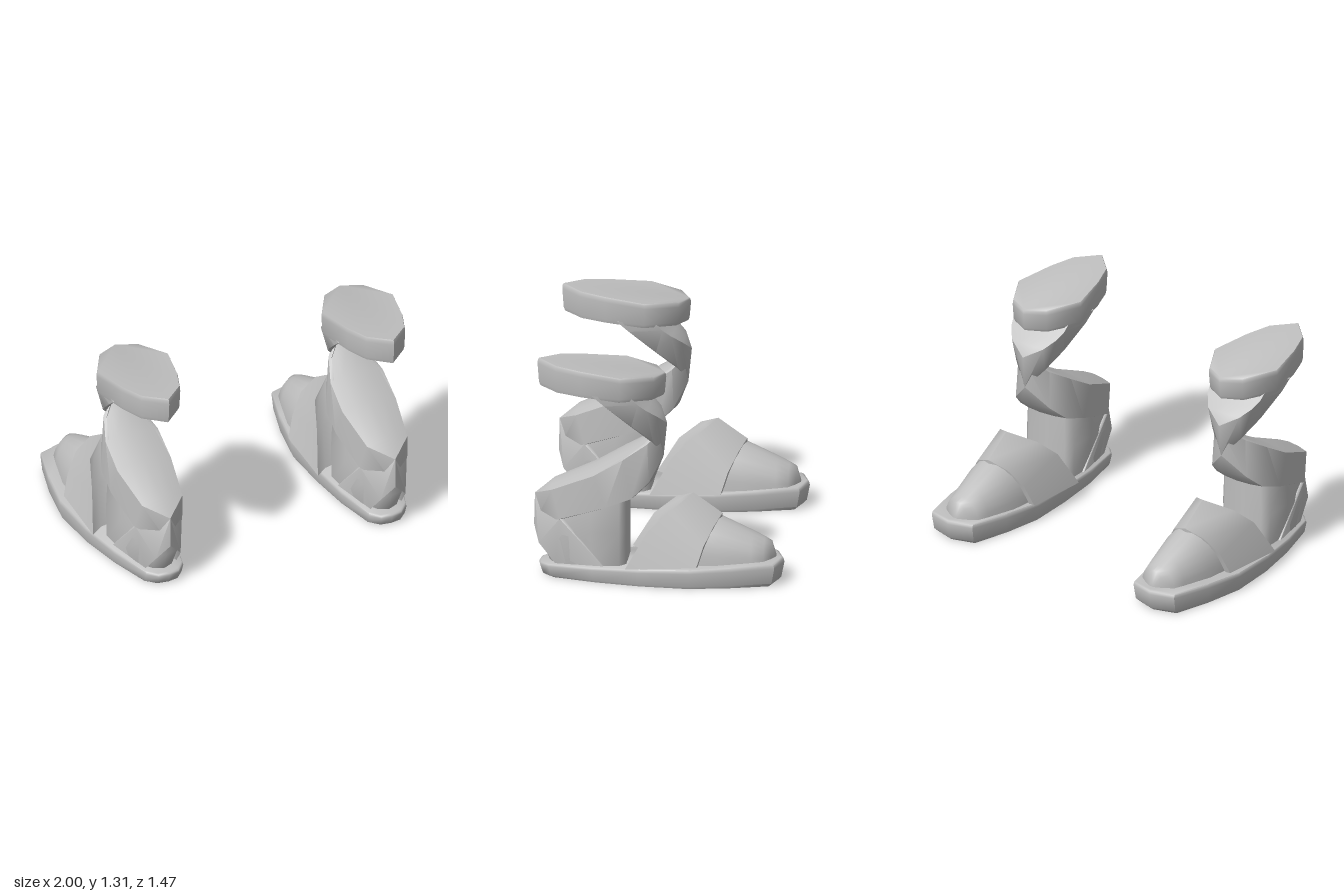
import * as THREE from 'three';
import { toCreasedNormals } from 'three/addons/utils/BufferGeometryUtils.js';

const grey = new THREE.MeshStandardMaterial({ color: 0xbfbfbf, side: THREE.DoubleSide });
grey.name = 'grey';

// Skin a list of equal-length point rows; optionally close each row and cap the ends
function loft(name, rows, { closed = false, caps = false, crease = 0.8 } = {}) {
  const n = rows[0].length, index = [], pos = rows.flat(2);
  const last = closed ? n : n - 1;
  for (let i = 0; i < rows.length - 1; i++) {
    for (let j = 0; j < last; j++) {
      const a = i * n + j, b = i * n + (j + 1) % n;
      index.push(a, b, a + n, b, b + n, a + n);
    }
  }
  if (caps) {
    const end = (rows.length - 1) * n;
    for (let j = 1; j < n - 1; j++) {
      index.push(0, j + 1, j, end, end + j, end + j + 1);
    }
  }
  const geo = new THREE.BufferGeometry();
  geo.setAttribute('position', new THREE.Float32BufferAttribute(pos, 3));
  geo.setIndex(index);
  const mesh = new THREE.Mesh(toCreasedNormals(geo, crease), grey);
  mesh.name = name;
  return mesh;
}

const mirrorX = ([x, y, z]) => [-x, y, z];
// Extend a half row that ends on the centre line across to the other side
const across = half => [...half, ...half.slice(0, -1).reverse().map(mirrorX)];

// Slab with softened edges between two sloping planes; outline is half of [x, z] points
function slab(name, half, low, high, inset, shift) {
  const outline = [...half, ...half.slice(1, -1).reverse().map(([x, z]) => [-x, z])];
  const midZ = (half[0][1] + half[half.length - 1][1]) / 2;
  const levels = [[0, 1 - inset], [0.13, 1 - inset / 2], [0.8, 1], [0.94, 0.993], [1, 0.975]];
  const rows = levels.map(([t, k]) => outline.map(([x, z0]) => {
    const z = midZ + (z0 - midZ) * k;
    return [x * k + shift(z), low(z) + (high(z) - low(z)) * t, z];
  }));
  return loft(name, rows, { closed: true, caps: true, crease: 0.95 });
}

const soleTop = z => 0.108 - 0.042 * z;

// Ankle strap sections: upper edge, lower edge
const strapPath = [
  [[-0.175, 0.09, 0.31], [-0.10, 0.08, 0.60]],
  [[-0.150, 0.37, 0.57], [-0.08, 0.20, 0.70]],
  [[0, 0.48, 0.73], [0, 0.29, 0.735]],
  [[0.13, 0.54, 0.62], [0.155, 0.37, 0.57]],
  [[0.172, 0.645, 0.37], [0.182, 0.455, 0.30]],
  [[0.168, 0.745, 0.20], [0.17, 0.51, 0.15]],
  [[0.115, 0.83, 0.06], [0.125, 0.60, 0.05]],
  [[0, 0.93, -0.045], [0, 0.73, -0.025]],
  [[-0.115, 1.00, 0.0], [-0.105, 0.85, 0.03]],
  [[-0.165, 1.05, 0.06], [-0.155, 0.95, 0.15]],
  [[-0.185, 1.09, 0.11], [-0.195, 1.08, 0.305]],
  [[-0.19, 1.14, 0.16], [-0.20, 1.14, 0.375]],
];

function ankleStrap(name, side) {
  const inner = ([x, y, z]) => {
    const dz = z - 0.28, len = Math.hypot(x, dz);
    return [x - 0.022 * x / len, y, z - 0.022 * dz / len];
  };
  const rows = strapPath.map(([u, l]) => [u, l, inner(l), inner(u)]
    .map(([x, y, z]) => [x * side, y, z]));
  return loft(name, rows, { closed: true, caps: true, crease: 1 });
}

// Web stretched between the two straps along one of their edges, bulging by [y, z] at the centre
function ankleWeb(name, from, to, edge, [dy, dz]) {
  const rows = strapPath.slice(from, to + 1).map(section => {
    const [x, y, z] = section[edge], k = Math.min(1, Math.abs(x) / 0.15);
    return across([[x, y, z], [x * 0.55, y + dy * k * 0.7, z + dz * k * 0.7], [0, y + dy * k, z + dz * k]]);
  });
  return loft(name, rows, { crease: 1 });
}

// Heel column wrapped around the back of the foot and closed across the instep side
function heelColumn() {
  const half = [
    [[0, 0.09, 0.18], [0, 0.3, 0.18], [0, 0.52, 0.18]],
    [[0.13, 0.09, 0.182], [0.135, 0.3, 0.182], [0.13, 0.52, 0.182]],
    [[0.17, 0.09, 0.22], [0.175, 0.3, 0.22], [0.165, 0.51, 0.22]],
    [[0.155, 0.09, 0.38], [0.17, 0.3, 0.39], [0.155, 0.5, 0.39]],
    [[0.12, 0.08, 0.53], [0.14, 0.25, 0.56], [0.115, 0.44, 0.56]],
    [[0.06, 0.08, 0.62], [0.075, 0.2, 0.665], [0.05, 0.45, 0.62]],
    [[0, 0.08, 0.645], [0, 0.2, 0.685], [0, 0.45, 0.65]],
  ];
  const columns = [...half, ...half.slice(0, -1).reverse().map(c => c.map(mirrorX))];
  return loft('heelColumn', columns, { crease: 1 });
}

// Chevron band over the instep, with a hollowed web closing its rear
function instepBand() {
  const group = new THREE.Group();
  group.name = 'instepBand';
  const rearHalf = [[0.24, 0.10, 0.18], [0.185, 0.32, 0.05], [0.135, 0.44, -0.085], [0, 0.51, -0.2]];
  const rear = across(rearHalf);
  const front = across([[0.235, 0.11, -0.235], [0.19, 0.235, -0.275], [0.11, 0.34, -0.33], [0, 0.39, -0.37]]);
  const shrink = ([x, y, z]) => [x * 0.9, y - 0.02, z];
  const web = rearHalf.map(([x, y, z]) => {
    const k = x / 0.24;
    return across([[x, y, z], [x * 0.7, y, z - 0.05 * k], [0, y, z - 0.09 * k]]);
  });
  group.add(loft('band', [rear, front, front.map(shrink)]), loft('rearWeb', web, { crease: 1 }));
  return group;
}

// Closed cap over the toes: [z, half width, top height]
function toeCap() {
  const sections = [[-0.2, 0.19, 0.41], [-0.36, 0.185, 0.372], [-0.55, 0.14, 0.285],
    [-0.62, 0.12, 0.25], [-0.66, 0.065, 0.23], [-0.685, 0.02, 0.15]];
  const rows = sections.map(([z, w, top]) => {
    const base = soleTop(z) - 0.02;
    return Array.from({ length: 13 }, (_, i) => {
      const a = Math.PI * i / 12;
      return [w * Math.cos(a), base + (top - base) * Math.sin(a), z];
    });
  });
  return loft('toeCap', rows, { caps: true, crease: 0.9 });
}

function shoe(side) {
  const group = new THREE.Group();
  group.name = side > 0 ? 'leftSandal' : 'rightSandal';

  const sole = slab('sole', [[0, -0.735], [0.15, -0.69], [0.215, -0.45], [0.255, -0.2],
    [0.235, 0.1], [0.19, 0.38], [0.12, 0.64], [0.065, 0.695], [0, 0.705]],
    () => 0, soleTop, 0.05, z => side * (0.02 - 0.04 * Math.max(0, z)));

  const cuff = slab('ankleCuff', [[0, -0.04], [0.125, 0.02], [0.232, 0.21], [0.18, 0.45],
    [0.125, 0.6], [0, 0.715]],
    z => 1.103 + 0.05 * z, z => 1.243 + 0.088 * z, 0.045, () => 0);

  group.add(sole, cuff, heelColumn(), instepBand(), toeCap(),
    ankleStrap('ankleStrapLeft', 1), ankleStrap('ankleStrapRight', -1),
    ankleWeb('lowerFrontWeb', 2, 7, 0, [0.03, 0]),
    ankleWeb('upperFrontWeb', 7, 11, 1, [0.02, -0.03]),
    ankleWeb('lowerBackWeb', 4, 7, 1, [0, -0.03]),
    ankleWeb('upperBackWeb', 7, 11, 0, [0, -0.01]));
  group.position.x = 0.725 * side;
  return group;
}

export function createModel() {
  const model = new THREE.Group();
  model.name = 'sandals';
  model.add(shoe(1), shoe(-1));
  return model;
}
